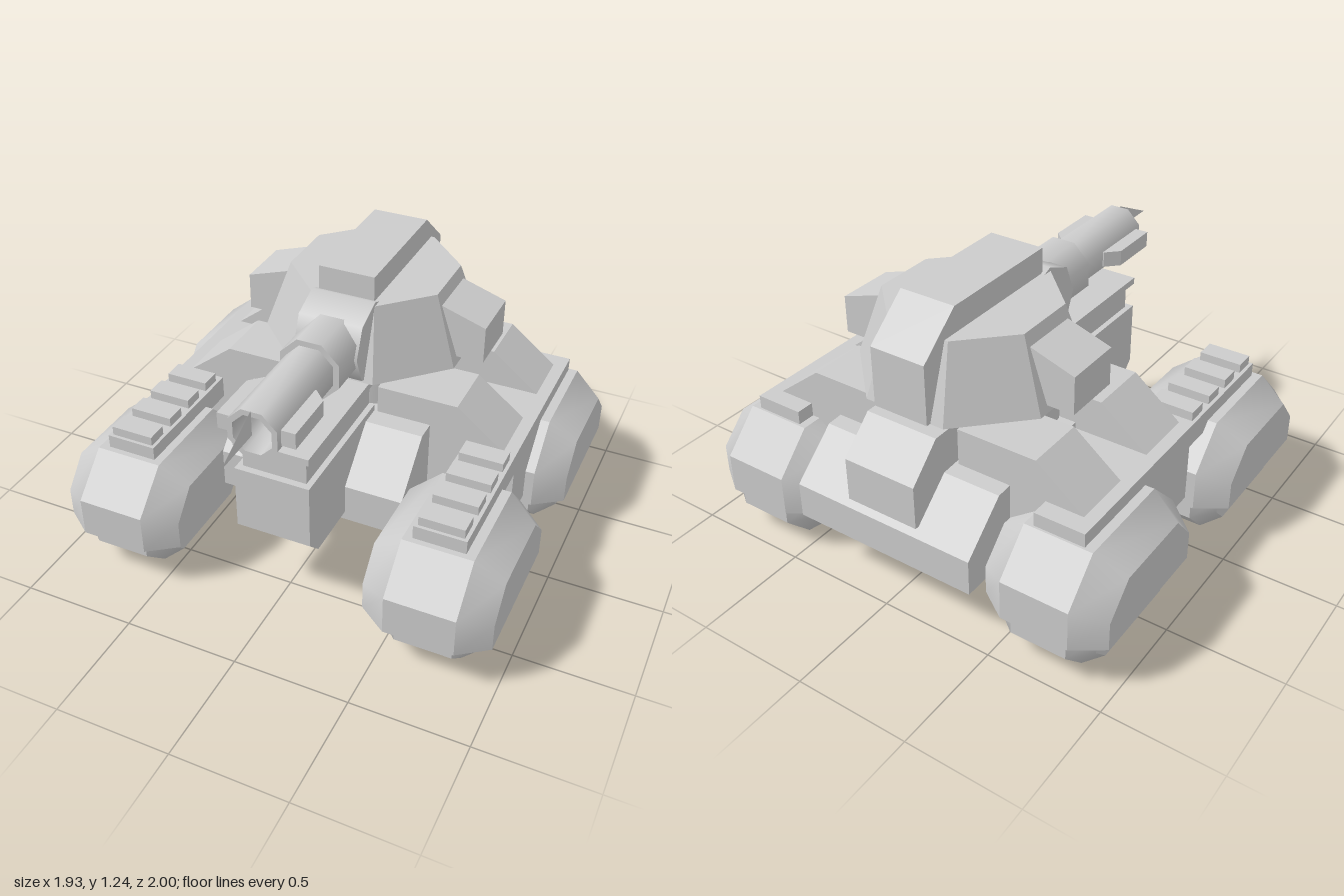
import * as THREE from 'three';
import { toCreasedNormals, mergeGeometries } from 'three/addons/utils/BufferGeometryUtils.js';

const material = new THREE.MeshStandardMaterial({ color: 0xcccccc });
const thin = new THREE.MeshStandardMaterial({ color: 0xcccccc, side: THREE.DoubleSide });

export function createModel() {
  const model = new THREE.Group();
  const sides = [['left', 1], ['right', -1]];

  const add = (name, geometry, mat = material) => {
    const mesh = new THREE.Mesh(geometry, mat);
    mesh.name = name;
    model.add(mesh);
    return mesh;
  };

  // Box from its limits on each axis
  const box = (name, x0, x1, y0, y1, z0, z1) =>
    add(name, new THREE.BoxGeometry(x1 - x0, y1 - y0, z1 - z0)
      .translate((x0 + x1) / 2, (y0 + y1) / 2, (z0 + z1) / 2));

  const shapeOf = (pts) => new THREE.Shape(pts.map(([a, b]) => new THREE.Vector2(a, b)));

  // Side profile of [z, y] points, extruded across x and centred
  const acrossX = (name, pts, width) =>
    add(name, new THREE.ExtrudeGeometry(shapeOf(pts), { depth: width, bevelEnabled: false })
      .rotateY(-Math.PI / 2).translate(width / 2, 0, 0));

  // Front profile of [x, y] points, extruded from z0 to z1
  const alongZ = (name, pts, z0, z1) =>
    add(name, new THREE.ExtrudeGeometry(shapeOf(pts), { depth: z1 - z0, bevelEnabled: false })
      .translate(0, 0, z0));

  // Chamfered pod: a large [z, y] profile in the middle, a small one at both ends
  const podGeometry = (small, large, halfInner, halfOuter) => {
    const rings = [[-halfOuter, small], [-halfInner, large], [halfInner, large], [halfOuter, small]]
      .map(([x, pts]) => pts.map(([z, y]) => [x, y, z]));
    const n = small.length;
    const toGeometry = (corners, crease) => {
      const g = new THREE.BufferGeometry();
      g.setAttribute('position', new THREE.Float32BufferAttribute(corners.flat(), 3));
      g.computeVertexNormals();
      return toCreasedNormals(g, crease);
    };
    const pieces = [];
    for (let i = 0; i < 3; i++) {
      const corners = [];
      for (let j = 0; j < n; j++) {
        const k = (j + 1) % n;
        const a = rings[i][j], b = rings[i][k], c = rings[i + 1][k], d = rings[i + 1][j];
        corners.push(a, d, c, a, c, b);
      }
      pieces.push(toGeometry(corners, i === 1 ? 0.02 : 0.95));
    }
    const caps = [];
    for (let j = 1; j < n - 1; j++) {
      caps.push(rings[0][0], rings[0][j], rings[0][j + 1]);
      caps.push(rings[3][0], rings[3][j + 1], rings[3][j]);
    }
    pieces.push(toGeometry(caps, 0.02));
    return mergeGeometries(pieces);
  };

  // Octagonal prism about the y axis, given the distance to its flats
  const octagon = (top, bottom, height) => {
    const k = 1 / Math.cos(Math.PI / 8);
    return new THREE.CylinderGeometry(top * k, bottom * k, height, 8).rotateY(Math.PI / 8);
  };

  // Hull
  acrossX('hull', [[0.09, 0.64], [0.3, 0.44], [0.3, 0.265], [-1, 0.265], [-1, 0.42], [-0.8, 0.6], [-0.05, 0.64]], 0.84);
  box('wideHull', -0.8, 0.8, 0.24, 0.6, -0.73, 0);
  acrossX('rearEngineBox', [[-0.55, 0.78], [-0.84, 0.78], [-0.985, 0.64], [-0.985, 0.45], [-0.55, 0.45]], 0.33);

  // Prow under the gun
  acrossX('prow', [[0, 0.67], [0, 0.305], [0.56, 0.305], [0.635, 0.38], [0.635, 0.67]], 0.33);
  box('prowNeck', -0.14, 0.14, 0.67, 0.785, 0, 0.605);
  box('prowLip', -0.165, 0.165, 0.785, 0.815, 0, 0.635);

  // Wheel covers and wheels, four corners
  const cover = podGeometry(
    [[0.69, 0.2], [0.69, 0.325], [0.58, 0.45], [0.21, 0.45], [0.085, 0.325], [0.085, 0.2]],
    [[0.78, 0.2], [0.78, 0.375], [0.61, 0.54], [0.16, 0.54], [0, 0.375], [0, 0.2]], 0.148, 0.272);
  const wheel = podGeometry(
    [[0.58, 0.08], [0.65, 0.15], [0.65, 0.22], [0.09, 0.22], [0.09, 0.15], [0.16, 0.08]],
    [[0.6, 0], [0.727, 0.12], [0.727, 0.22], [0.027, 0.22], [0.027, 0.12], [0.145, 0]], 0.122, 0.215);

  for (const [side, s] of sides) {
    for (const [end, z] of [['Front', 0], ['Rear', -0.98]]) {
      add(side + end + 'Cover', cover).position.set(s * 0.692, 0, z);
      add(side + end + 'Wheel', wheel).position.set(s * 0.695, 0, z);
    }

    // Rail over the covers, with slats at the front
    const at = (name, x, w, y0, y1, z0, z1) => box(side + name, s * x - w / 2, s * x + w / 2, y0, y1, z0, z1);
    at('Rail', 0.69, 0.22, 0.5, 0.6, -0.81, 0.585);
    for (let i = 0; i < 4; i++) at('Slat' + i, 0.69, 0.19, 0.6, 0.64, 0.037 + i * 0.148, 0.127 + i * 0.148);

    // Sloped shoulder blocks beside the turret
    const shoulder = [[0.18, 0.5], [0.18, 0.765], [0.535, 0.765], [0.745, 0.6], [0.745, 0.5]].map(([x, y]) => [s * x, y]);
    alongZ(side + 'FrontShoulder', shoulder, -0.27, 0);
    alongZ(side + 'RearShoulder', shoulder, -0.73, -0.468);

    // Turret ears
    alongZ(side + 'Ear', [[0.3, 0.845], [0.3, 1.093], [0.555, 1.01], [0.555, 0.845]].map(([x, y]) => [s * x, y]), -0.505, -0.245);

    // Blocks beside the barrel, swept back into it
    const block = new THREE.ExtrudeGeometry(
      shapeOf([[0.08, 0.735], [0.165, 0.735], [0.165, 0.5], [0.11, 0.445], [0.08, 0.445]].map(([x, z]) => [s * x, -z])),
      { depth: 0.07, bevelEnabled: false }).rotateX(-Math.PI / 2).translate(0, 0.935, 0);
    add(side + 'BarrelBlock', block);
  }

  // Turret
  add('turretRing', new THREE.CylinderGeometry(0.36, 0.36, 0.24, 24)).position.set(0, 0.71, -0.375);
  add('turret', toCreasedNormals(octagon(0.34, 0.445, 0.31), 0.1)).position.set(0, 0.973, -0.375);
  acrossX('turretSpine', [[-0.07, 1.1], [-0.07, 1.24], [-0.65, 1.24], [-0.84, 1.08], [-0.84, 0.82], [-0.5, 0.82], [-0.5, 1.1]], 0.25);

  // Gun
  add('mantlet', new THREE.CylinderGeometry(0.18, 0.18, 0.285, 8).rotateZ(Math.PI / 2)).position.set(0, 0.965, -0.04);
  add('barrelSleeve', octagon(0.13, 0.13, 0.3).rotateX(Math.PI / 2)).position.set(0, 0.97, 0.135);
  const k = 1 / Math.cos(Math.PI / 8);
  const barrelProfile = [[0.105, 0.2], [0.105, 0.765], [0.082, 0.765], [0.07, 0.6], [0, 0.6]]
    .map(([r, z]) => new THREE.Vector2(r * k, z));
  const barrel = new THREE.LatheGeometry(barrelProfile, 8).rotateY(Math.PI / 8).rotateX(Math.PI / 2);
  add('barrel', toCreasedNormals(barrel, 0.9), thin).position.y = 0.97;

  // Thin sight blade ahead of the muzzle
  const blade = new THREE.ShapeGeometry(shapeOf([[0.765, 0.97], [1, 0.97], [0.765, 1.08]])).rotateY(-Math.PI / 2);
  add('muzzleBlade', blade, thin);

  return model;
}
